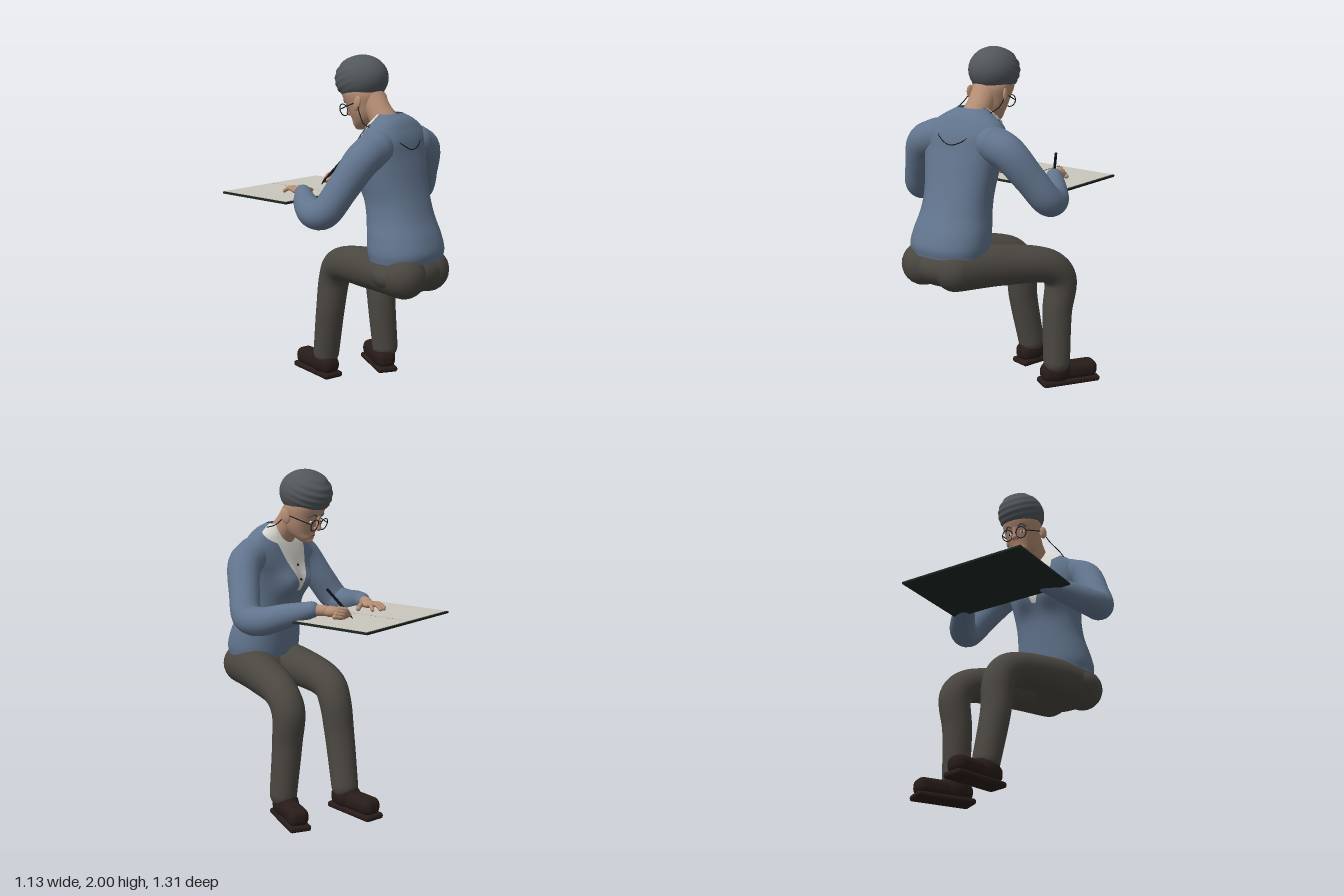
import * as THREE from 'three';
import { mergeGeometries } from 'three/addons/utils/BufferGeometryUtils.js';
import { ParametricGeometry } from 'three/addons/geometries/ParametricGeometry.js';
import { RoundedBoxGeometry } from 'three/addons/geometries/RoundedBoxGeometry.js';

const mat = (color, side = THREE.FrontSide) => new THREE.MeshStandardMaterial({ color, side });
const jacket = mat(0x62758e, THREE.DoubleSide), trousers = mat(0x4a4640), leather = mat(0x271c19);
const hairMat = mat(0x52575b), skin = mat(0xb58d74), shirt = mat(0xdcdad4, THREE.DoubleSide);
const cover = mat(0x1e2621), paper = mat(0xcac7bd), black = mat(0x17171a), lips = mat(0x93594e);
const V = (x, y, z) => new THREE.Vector3(x, y, z);

function add(parent, name, geometry, material, pos = [0, 0, 0], rot = [0, 0, 0], scale = [1, 1, 1]) {
  const m = new THREE.Mesh(geometry, material);
  m.name = name;
  m.position.set(...pos);
  m.rotation.set(...rot);
  m.scale.set(...scale);
  parent.add(m);
  return m;
}

// Round limb through points [x, y, z, radius] with rounded ends
function limb(pts, seg = 48, sides = 24) {
  const curve = new THREE.CatmullRomCurve3(pts.map(p => V(p[0], p[1], p[2])));
  const radii = new THREE.CatmullRomCurve3(pts.map((p, i) => V(i, p[3], 0)));
  const path = new THREE.Curve();
  path.getPoint = path.getPointAt = t => curve.getPoint(t);
  path.getTangentAt = t => curve.getTangent(t);
  const g = new THREE.TubeGeometry(path, seg, 1, sides);
  const P = g.attributes.position, N = g.attributes.normal;
  for (let i = 0; i < P.count; i++) {
    const u = Math.floor(i / (sides + 1)) / seg, c = curve.getPoint(u), r = radii.getPoint(u).y;
    P.setXYZ(i, c.x + N.getX(i) * r, c.y + N.getY(i) * r, c.z + N.getZ(i) * r);
  }
  const caps = [pts[0], pts[pts.length - 1]].map(p =>
    new THREE.SphereGeometry(p[3], sides, 14).translate(p[0], p[1], p[2]));
  return mergeGeometries([g, ...caps]);
}

// Surface through horizontal rings [y, xMin, xMax, zFront, zBack]; t = PI / 2 points to -z
function ringSurface(rings, power, bulge = () => 0) {
  const xs = new THREE.CatmullRomCurve3(rings.map(r => V(r[1], r[0], r[2])));
  const zs = new THREE.CatmullRomCurve3(rings.map(r => V(r[3], r[0], r[4])));
  const pw = a => Math.sign(a) * Math.abs(a) ** power;
  return (t, s, off = 0) => {
    const a = xs.getPoint(s), b = zs.getPoint(s);
    const x = (a.x + a.z) / 2 + ((a.z - a.x) / 2 + off) * pw(Math.cos(t));
    const z = (b.x + b.z) / 2 - ((b.z - b.x) / 2 + off) * pw(Math.sin(t));
    return V(x, a.y, z - (Math.sin(t) > 0 ? bulge(x, a.y) * Math.sin(t) : 0));
  };
}
const skinOf = (f, nu = 56, nv = 48) =>
  new ParametricGeometry((u, v, p) => p.copy(f(u * Math.PI * 2, v)), nu, nv);
// Patch lying on a surface, between angles a(v) and b(v) from the front
const patch = (f, s0, s1, a, b, off) => new ParametricGeometry((u, v, p) =>
  p.copy(f(Math.PI / 2 + a(v) + (b(v) - a(v)) * u, s0 + (s1 - s0) * v, off)), 16, 20);

function rod(a, b, r, r2 = r) {
  const A = V(...a), B = V(...b), d = B.clone().sub(A);
  const g = new THREE.CylinderGeometry(r2, r, d.length(), 12);
  g.applyQuaternion(new THREE.Quaternion().setFromUnitVectors(V(0, 1, 0), d.normalize()));
  return g.translate(...A.add(B).multiplyScalar(0.5).toArray());
}

function buildTorso(g) {
  const bust = (x, y) => [-0.15, 0.03].reduce((sum, c) =>
    sum + 0.06 * Math.exp(-(((x - c) / 0.08) ** 2) - ((y - 1.32) / 0.085) ** 2), 0);
  const body = ringSurface([
    [0.87, -0.295, 0.16, 0.26, 0.64], [0.92, -0.302, 0.167, 0.25, 0.648],
    [1.0, -0.29, 0.165, 0.24, 0.625], [1.1, -0.267, 0.152, 0.228, 0.58],
    [1.2, -0.262, 0.152, 0.215, 0.545], [1.3, -0.278, 0.165, 0.2, 0.515],
    [1.38, -0.293, 0.183, 0.19, 0.495], [1.46, -0.305, 0.21, 0.19, 0.475],
    [1.54, -0.3, 0.22, 0.205, 0.458], [1.6, -0.24, 0.19, 0.225, 0.432],
    [1.65, -0.16, 0.12, 0.245, 0.4], [1.68, -0.105, 0.065, 0.265, 0.35]], 0.9, bust);
  add(g, 'jacket', skinOf(body), jacket);
  add(g, 'shirtFront', patch(body, 0.43, 0.99, v => -0.05 - 0.7 * v, v => 0.05 + 0.7 * v, 0.005), shirt);
  for (const s of [-1, 1]) {
    const edge = v => s * (0.05 + 0.7 * v);
    add(g, 'lapel', patch(body, 0.43, 0.86, edge, v => edge(v) + s * 0.32 * v ** 0.6 * (v > 0.8 ? (1 - v) * 5 : 1), 0.012), jacket);
    add(g, 'shirtCollar', patch(body, 0.76, 1, v => s * (0.42 + 0.25 * v),
      v => s * (0.45 + 0.75 * Math.min(v * 2, 1) + 0.1 * v), 0.016), shirt);
  }
  for (const s of [0.5, 0.6]) {
    add(g, 'shirtButton', new THREE.SphereGeometry(0.008, 12, 8), black, body(Math.PI / 2, s, 0.006).toArray());
  }
}

function buildHead(g) {
  add(g, 'neck', limb([[-0.02, 1.75, 0.17, 0.078], [-0.022, 1.67, 0.23, 0.075], [-0.025, 1.58, 0.3, 0.09]], 20), skin);
  const cx = -0.015;
  const face = ringSurface([[1.575, 0.03, 0.065, 0.105], [1.6, 0.055, 0.048, 0.15], [1.63, 0.075, 0.043, 0.19],
    [1.67, 0.093, 0.028, 0.21], [1.72, 0.106, 0.004, 0.22], [1.78, 0.118, -0.025, 0.225], [1.84, 0.112, -0.03, 0.2]]
    .map(([y, w, f, b]) => [y, cx - w, cx + w, f, b]), 0.95);
  add(g, 'face', skinOf(face, 40, 30), skin);
  add(g, 'chin', new THREE.SphereGeometry(1, 20, 14), skin, [cx, 1.587, 0.08], [0, 0, 0], [0.034, 0.018, 0.03]);
  add(g, 'nose', limb([[cx, 1.725, 0.002, 0.01], [cx, 1.69, 0.003, 0.013], [cx, 1.663, 0.001, 0.017]], 12, 14), skin);
  add(g, 'mouth', new THREE.SphereGeometry(1, 16, 10), lips, [cx, 1.618, 0.046], [0, 0, 0], [0.026, 0.008, 0.008]);
  for (const s of [-1, 1]) {
    const at = (a, h) => face(Math.PI / 2 + s * a, h, 0).toArray();
    add(g, 'nostril', new THREE.SphereGeometry(0.011, 12, 8), skin, [cx + s * 0.014, 1.66, 0.014]);
    add(g, 'eye', new THREE.SphereGeometry(1, 16, 10), shirt, at(0.42, 0.6), [0, 0, 0], [0.016, 0.009, 0.008]);
    add(g, 'iris', new THREE.SphereGeometry(0.0065, 12, 8), black, face(Math.PI / 2 + s * 0.42, 0.595, 0.005).toArray());
    add(g, 'eyebrow', limb([0.22, 0.42, 0.68].map((a, i) => [...at(a, [0.71, 0.74, 0.7][i]), 0.006]), 12, 8), hairMat);
    // Ears
    add(g, 'ear', new THREE.SphereGeometry(1, 16, 12), skin, [cx + s * 0.122, 1.735, 0.15], [0.25, s * 0.3, 0], [0.014, 0.045, 0.028]);
    // Glasses
    const lens = [cx + s * 0.047, 1.682, -0.004];
    add(g, 'glassesRim', new THREE.TorusGeometry(0.035, 0.003, 8, 32), black, lens, [-0.35, 0, 0]);
    add(g, 'glassesTemple', rod([cx + s * 0.082, 1.69, -0.002], [cx + s * 0.122, 1.745, 0.15], 0.003), black);
  }
  add(g, 'glassesBridge', rod([cx - 0.013, 1.688, -0.006], [cx + 0.013, 1.688, -0.006], 0.003), black);
  // Cord hanging from the glasses round the back
  const cord = new THREE.CatmullRomCurve3([[-0.135, 1.74, 0.15], [-0.165, 1.68, 0.19], [-0.205, 1.625, 0.26],
    [-0.19, 1.6, 0.38], [-0.135, 1.53, 0.455], [-0.05, 1.49, 0.474], [0.04, 1.52, 0.459], [0.09, 1.59, 0.41],
    [0.105, 1.655, 0.3], [0.11, 1.68, 0.22], [0.108, 1.74, 0.15]].map(p => V(...p)));
  add(g, 'glassesCord', new THREE.TubeGeometry(cord, 80, 0.003, 6), black);

  // Hair with combed ridges and a flat hidden underside
  const hair = new THREE.SphereGeometry(1, 64, 64), P = hair.attributes.position;
  for (let i = 0; i < P.count; i++) {
    const p = V().fromBufferAttribute(P, i);
    const front = THREE.MathUtils.smoothstep(-p.z, -0.5, 0.5);
    const k = 1 + 0.014 * front * Math.sin(22 * (p.y - 0.35 * p.z) + 2 * p.x);
    P.setXYZ(i, p.x * k * 0.14, Math.max(p.y * k, -0.72 + 0.12 * front) * 0.135, p.z * k * 0.163);
  }
  hair.computeVertexNormals();
  add(g, 'hair', hair, hairMat, [cx, 1.866, 0.09], [-0.12, 0, 0]);
}

function buildLegs(g) {
  add(g, 'trouserSeat', new THREE.SphereGeometry(1, 40, 28), trousers, [-0.08, 0.795, 0.465], [0, 0, 0], [0.245, 0.125, 0.19]);
  const legs = {
    forwardLeg: [[-0.2, 0.795, 0.53, 0.126], [-0.13, 0.79, 0.25, 0.12], [-0.01, 0.735, -0.08, 0.1],
      [0.015, 0.65, -0.137, 0.095], [0.015, 0.45, -0.17, 0.088], [0.04, 0.15, -0.225, 0.08]],
    outerLeg: [[0.03, 0.795, 0.53, 0.126], [0.17, 0.785, 0.28, 0.12], [0.33, 0.735, 0.02, 0.1],
      [0.36, 0.65, -0.045, 0.097], [0.352, 0.45, -0.03, 0.088], [0.365, 0.15, -0.01, 0.08]]
  };
  for (const [name, pts] of Object.entries(legs)) add(g, name, limb(pts, 72, 28), trousers);
  // Shoes: [name, x, z, turn]
  for (const [name, x, z, turn] of [['forwardShoe', 0.058, -0.31, -0.28], ['outerShoe', 0.402, -0.085, -0.6]]) {
    const shoe = new THREE.Group();
    shoe.name = name;
    shoe.position.set(x, 0, z);
    shoe.rotation.y = turn;
    add(shoe, 'sole', new RoundedBoxGeometry(0.13, 0.036, 0.365, 4, 0.016), leather, [0, 0.018, 0]);
    add(shoe, 'upper', new RoundedBoxGeometry(0.12, 0.105, 0.35, 6, 0.045), leather, [0, 0.076, 0]);
    add(shoe, 'ankleCollar', new THREE.SphereGeometry(1, 28, 18), leather, [0, 0.085, 0.075], [0, 0, 0], [0.075, 0.082, 0.1]);
    g.add(shoe);
  }
}

function buildArms(g) {
  add(g, 'writingSleeve', limb([[0.15, 1.5, 0.35, 0.105], [0.25, 1.455, 0.34, 0.1], [0.35, 1.31, 0.27, 0.09],
    [0.42, 1.18, 0.19, 0.087], [0.41, 1.165, 0.11, 0.083], [0.33, 1.2, -0.02, 0.07], [0.255, 1.235, -0.135, 0.048]], 80), jacket);
  add(g, 'restingSleeve', limb([[-0.23, 1.5, 0.35, 0.105], [-0.33, 1.455, 0.34, 0.1], [-0.42, 1.3, 0.27, 0.09],
    [-0.485, 1.16, 0.19, 0.087], [-0.475, 1.145, 0.11, 0.083], [-0.38, 1.175, -0.03, 0.07], [-0.28, 1.21, -0.135, 0.048]], 80), jacket);
  const finger = (name, pts, r) => add(g, name, limb(pts.map((p, i) => [...p, r - i * 0.0012]), 14, 10), skin);

  // Open hand lying on the page
  add(g, 'restingWrist', limb([[-0.275, 1.21, -0.14, 0.033], [-0.235, 1.21, -0.2, 0.03]], 8, 16), skin);
  add(g, 'restingPalm', new THREE.SphereGeometry(1, 24, 16), skin, [-0.207, 1.207, -0.228], [0, -0.55, 0], [0.047, 0.022, 0.063]);
  for (const [x0, z0, x1, z1] of [[-0.235, -0.25, -0.225, -0.325], [-0.212, -0.265, -0.19, -0.345],
    [-0.19, -0.262, -0.155, -0.343], [-0.173, -0.25, -0.115, -0.312]]) {
    finger('restingFinger', [[x0, 1.21, z0], [(x0 + x1) / 2, 1.213, (z0 + z1) / 2], [x1, 1.194, z1]], 0.013);
  }
  finger('restingThumb', [[-0.205, 1.205, -0.2], [-0.15, 1.205, -0.205], [-0.102, 1.194, -0.222]], 0.016);

  // Curled hand holding the pen
  add(g, 'writingWrist', limb([[0.252, 1.235, -0.14, 0.034], [0.235, 1.235, -0.21, 0.031]], 8, 16), skin);
  add(g, 'writingPalm', new THREE.SphereGeometry(1, 24, 16), skin, [0.222, 1.232, -0.245], [0, 0.35, -0.4], [0.036, 0.03, 0.06]);
  for (let i = 0; i < 4; i++) {
    const k = i * 0.014;
    finger('writingFinger', [[0.205 + k, 1.25 - k, -0.285], [0.178 + k * 0.7, 1.242 - k, -0.315 + k * 0.2],
      [0.145 + k * 0.6, 1.207 - k * 0.3, -0.32 + k * 0.5]], 0.0135);
  }
  finger('writingThumb', [[0.205, 1.235, -0.215], [0.17, 1.235, -0.255], [0.147, 1.213, -0.295]], 0.015);
  add(g, 'pen', rod([0.14, 1.21, -0.315], [0.216, 1.356, -0.213], 0.008), black);
  add(g, 'penTip', rod([0.129, 1.186, -0.33], [0.14, 1.21, -0.315], 0.002, 0.008), black);
}

function buildBook(g) {
  const book = new THREE.Group();
  book.name = 'openBook';
  book.position.set(-0.024, 1.173, -0.359);
  book.rotation.y = -0.0745;
  add(book, 'bookCover', new THREE.BoxGeometry(0.807, 0.012, 0.535), cover);
  for (const s of [-1, 1]) add(book, 'page', new THREE.BoxGeometry(0.387, 0.008, 0.517), paper, [s * 0.2, 0.005, 0]);
  g.add(book);
}

export function createModel() {
  const model = new THREE.Group();
  model.name = 'seatedWriter';
  for (const [name, build] of [['torso', buildTorso], ['head', buildHead], ['legs', buildLegs], ['arms', buildArms], ['book', buildBook]]) {
    const part = new THREE.Group();
    part.name = name;
    build(part);
    model.add(part);
  }
  return model;
}
